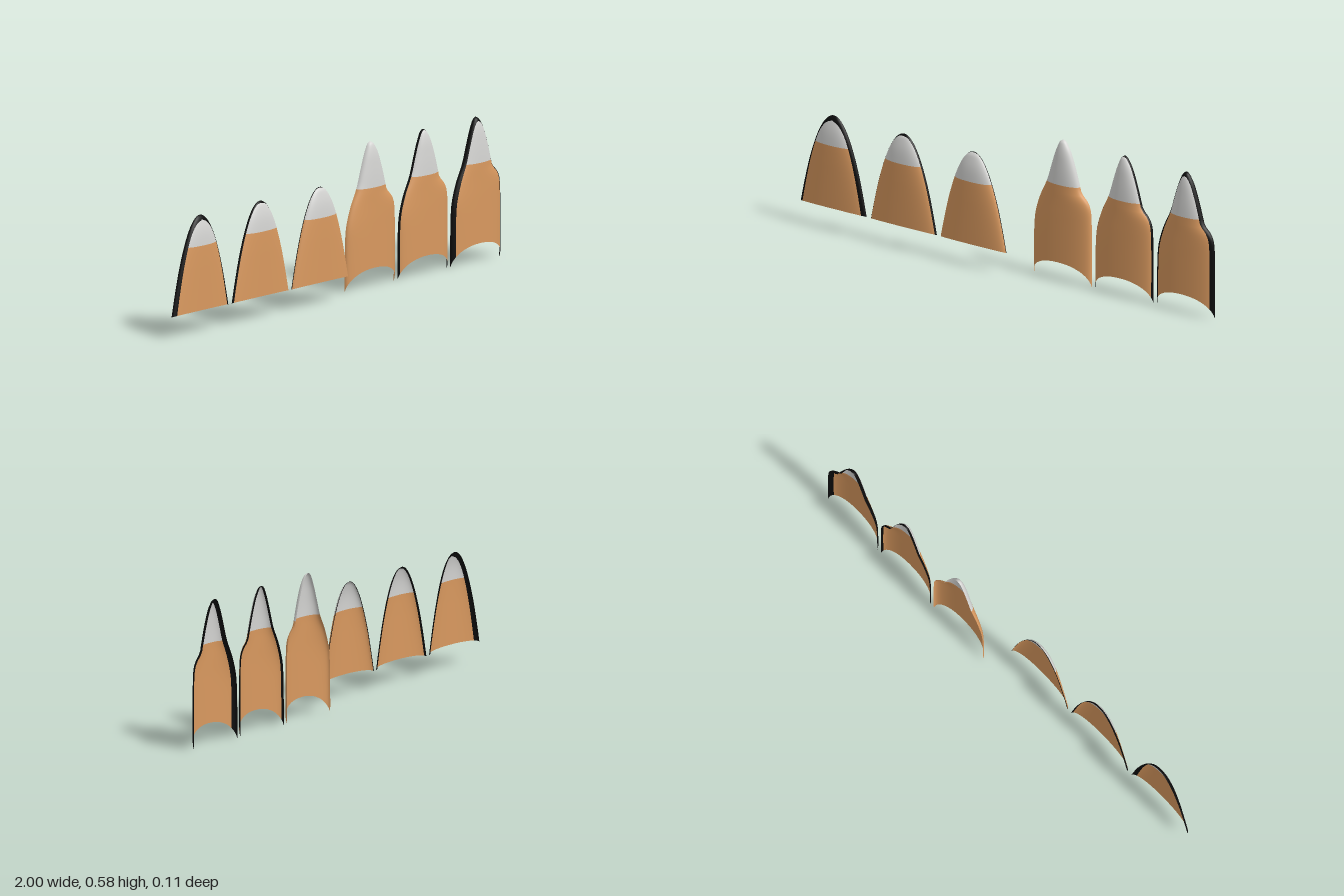
import * as THREE from 'three';

const flat = (color) => new THREE.MeshStandardMaterial({ color, side: THREE.DoubleSide });

// Smooth lookup of b by a, through a few [a, b] points with a rising
function smoothTable(points) {
  const pts = new THREE.SplineCurve(points.map(([a, b]) => new THREE.Vector2(a, b))).getPoints(240);
  return (a) => {
    if (a <= pts[0].x) return pts[0].y;
    for (let i = 1; i < pts.length; i++) {
      if (a <= pts[i].x) {
        const k = (a - pts[i - 1].x) / Math.max(1e-9, pts[i].x - pts[i - 1].x);
        return THREE.MathUtils.lerp(pts[i - 1].y, pts[i].y, k);
      }
    }
    return pts[pts.length - 1].y;
  };
}

// Short symmetrical ear: parabolic outline
const halfWidth = (y) => 0.163 * Math.sqrt(Math.max(0, (0.47 - y) / 0.375));
const shortEar = {
  base: 0.095, drop: 0.01, split: 0.352, top: 0.47, back: 0.027, depth: 0.028,
  left: (y) => -halfWidth(y),
  right: halfWidth,
  bulge: smoothTable([[0.28, 1], [0.36, 0.96], [0.41, 0.82], [0.45, 0.5], [0.464, 0.24], [0.47, 0]]),
};

// Tall ear: one straight side, one side with a shoulder
const tallEar = {
  base: 0.08, drop: 0.08, split: 0.4, top: 0.58, back: -0.055, depth: 0.033,
  left: smoothTable([[0, -0.145], [0.16, -0.145], [0.25, -0.138], [0.33, -0.113], [0.4, -0.078],
    [0.46, -0.058], [0.52, -0.038], [0.562, -0.02], [0.575, -0.01], [0.58, 0]]),
  right: smoothTable([[0, 0.139], [0.16, 0.141], [0.25, 0.14], [0.31, 0.136], [0.345, 0.122], [0.375, 0.092],
    [0.4, 0.083], [0.47, 0.062], [0.53, 0.04], [0.562, 0.022], [0.575, 0.011], [0.58, 0]]),
  bulge: smoothTable([[0.28, 1], [0.42, 0.95], [0.5, 0.82], [0.54, 0.68], [0.568, 0.46], [0.577, 0.22], [0.58, 0]]),
};

const POWER = 2.2; // roundness of the cross-section
const arch = (s) => Math.pow(Math.max(0, 1 - Math.pow(Math.abs(s), POWER)), 1 / POWER);

// Open curved shell; rim is the share of the depth covered by the dark border
function earGeometry(ear, rim) {
  const lowRows = 20, highRows = 24, furCols = 24, rimCols = rim > 0 ? 6 : 0;
  const rows = [];
  for (let j = 0; j <= lowRows; j++) rows.push(THREE.MathUtils.lerp(ear.base, ear.split, j / lowRows));
  for (let j = 1; j <= highRows; j++) {
    rows.push(ear.top - (ear.top - ear.split) * Math.pow(1 - j / highRows, 2));
  }

  const cols = furCols + 2 * rimCols;
  const positions = [];
  for (const y of rows) {
    const bulge = ear.bulge(y);
    const edge = rim <= 0 ? 1 : bulge <= rim ? 0 : arch(rim / bulge);
    const edgeAngle = Math.asin(Math.min(1, edge));
    const l = ear.left(y), r = ear.right(y);
    const fade = Math.max(0, 1 - (y - ear.base) / 0.16);
    for (let i = 0; i <= cols; i++) {
      const k = i - cols / 2, half = furCols / 2;
      const angle = Math.abs(k) <= half
        ? edgeAngle * k / half
        : Math.sign(k) * THREE.MathUtils.lerp(edgeAngle, Math.PI / 2, (Math.abs(k) - half) / rimCols);
      const s = Math.sin(angle);
      const rise = bulge * arch(s);
      positions.push(
        THREE.MathUtils.lerp(l, r, (s + 1) / 2),
        y - ear.drop * (1 - rise) * fade,
        ear.back + ear.depth * rise,
      );
    }
  }

  // Faces sorted by colour: fur, tip, rim
  const faces = [[], [], []];
  for (let j = 0; j < rows.length - 1; j++) {
    for (let i = 0; i < cols; i++) {
      const inRim = i < rimCols || i >= cols - rimCols;
      const a = j * (cols + 1) + i, b = a + 1, d = a + cols + 1, c = d + 1;
      faces[inRim ? 2 : j < lowRows ? 0 : 1].push(a, b, d, b, c, d);
    }
  }
  const geometry = new THREE.BufferGeometry();
  geometry.setAttribute('position', new THREE.Float32BufferAttribute(positions, 3));
  geometry.setIndex(faces.flat());
  let start = 0;
  faces.forEach((list, m) => {
    if (list.length) geometry.addGroup(start, list.length, m);
    start += list.length;
  });
  geometry.computeVertexNormals();
  return geometry;
}

export function createModel() {
  const fur = flat(0xd9995f);
  fur.name = 'orange fur';
  const tip = flat(0xd6d6d4);
  tip.name = 'pale grey tip';
  const border = flat(0x0b0b0b);
  border.name = 'black border';

  const group = new THREE.Group();
  group.name = 'earSet';
  const ears = [
    ['shortEarWideBorder', shortEar, -0.837, 0.5],
    ['shortEarThinBorder', shortEar, -0.487, 0.28],
    ['shortEarPlain', shortEar, -0.14, 0.1],
    ['tallEarPlain', tallEar, 0.243, 0],
    ['tallEarThinBorder', tallEar, 0.55, 0.28],
    ['tallEarWideBorder', tallEar, 0.857, 0.5],
  ];
  for (const [name, ear, x, rim] of ears) {
    const mesh = new THREE.Mesh(earGeometry(ear, rim), [fur, tip, border]);
    mesh.name = name;
    mesh.position.x = x;
    group.add(mesh);
  }
  return group;
}
